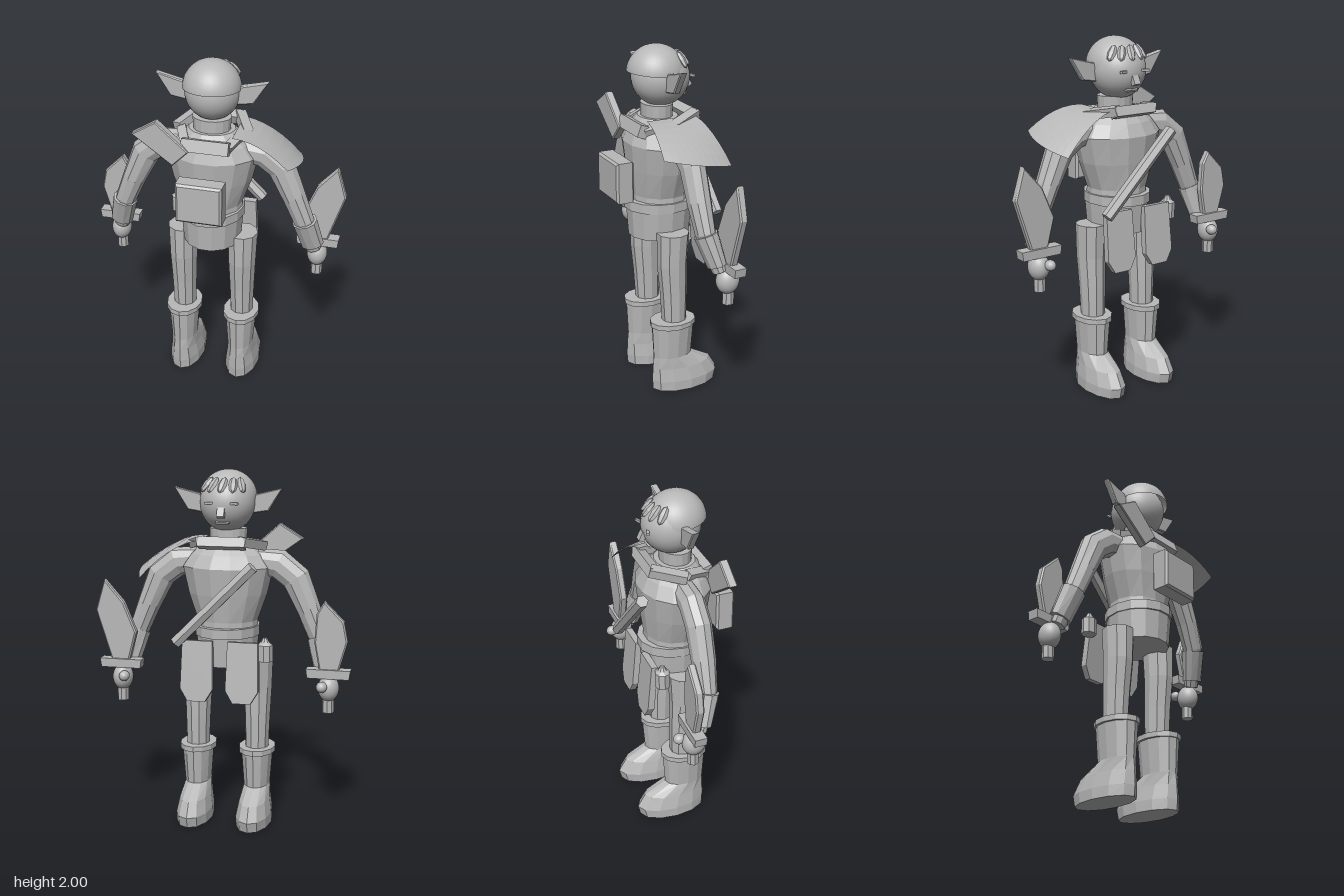
import * as THREE from 'three';

const CX = -0.012; // body centre line

export function createModel() {
  const root = new THREE.Group();
  root.name = 'adventurer';
  const grey = new THREE.MeshStandardMaterial({ color: 0xb8b8b8, side: THREE.DoubleSide });
  grey.name = 'grey';

  const flat = (geo) => {
    const g = geo.index ? geo.toNonIndexed() : geo;
    g.computeVertexNormals();
    return g;
  };
  const add = (name, geo, x = 0, y = 0, z = 0, rx = 0, ry = 0, rz = 0) => {
    const m = new THREE.Mesh(geo, grey);
    m.name = name;
    m.position.set(x, y, z);
    m.rotation.set(rx, ry, rz);
    root.add(m);
    return m;
  };
  const box = (w, h, d) => new THREE.BoxGeometry(w, h, d);

  // Faceted skin over elliptical rings [x, y, z, rx, rz]; rings follow the path unless upright
  const loft = (rings, n, upright = true) => {
    const c = rings.map((r) => new THREE.Vector3(r[0], r[1], r[2]));
    const pos = [], idx = [];
    rings.forEach((r, i) => {
      const t = upright ? new THREE.Vector3(0, 1, 0)
        : c[Math.min(i + 1, c.length - 1)].clone().sub(c[Math.max(i - 1, 0)]).normalize();
      const u = new THREE.Vector3().crossVectors(t, new THREE.Vector3(0, 0, 1)).normalize();
      const w = new THREE.Vector3().crossVectors(u, t);
      for (let j = 0; j < n; j++) {
        const a = (j / n) * Math.PI * 2;
        const p = c[i].clone().addScaledVector(u, Math.cos(a) * r[3]).addScaledVector(w, Math.sin(a) * r[4]);
        pos.push(p.x, p.y, p.z);
      }
    });
    const last = (rings.length - 1) * n, s = rings.length * n;
    for (const p of [c[0], c[c.length - 1]]) pos.push(p.x, p.y, p.z);
    for (let j = 0; j < n; j++) {
      const k = (j + 1) % n;
      for (let i = 0; i < last; i += n) idx.push(i + j, i + n + j, i + k, i + k, i + n + j, i + n + k);
      idx.push(s, j, k, s + 1, last + k, last + j);
    }
    const g = new THREE.BufferGeometry();
    g.setAttribute('position', new THREE.Float32BufferAttribute(pos, 3));
    g.setIndex(idx);
    return flat(g);
  };

  // Plate cut from an outline in x and y, centred on z = 0
  const plate = (pts, depth, bevel = 0) => {
    const shape = new THREE.Shape(pts.map(([x, y]) => new THREE.Vector2(x, y)));
    const g = new THREE.ExtrudeGeometry(shape, {
      depth: depth - 2 * bevel, bevelEnabled: bevel > 0, bevelThickness: bevel,
      bevelSize: bevel, bevelOffset: -bevel, bevelSegments: 1,
    });
    return g.translate(0, 0, -depth / 2 + bevel);
  };

  // Head, hair cap and neck
  const ball = new THREE.SphereGeometry(1, 32, 20);
  add('head', ball, CX, 1.82, -0.018).scale.set(0.154, 0.16, 0.163);
  const cap = new THREE.SphereGeometry(1, 32, 10, 0, Math.PI * 2, 0, Math.PI / 2);
  add('hairCap', cap, CX, 1.845, 0.008, -0.09).scale.set(0.159, 0.155, 0.164);
  add('neck', loft([[CX, 1.55, 0.005, 0.1, 0.085], [CX, 1.68, 0.005, 0.108, 0.087]], 16));

  // Face, on the -z side
  for (const s of [-1, 1]) {
    add('eye', box(0.07, 0.014, 0.014), CX + s * 0.06, 1.825, -0.168, 0, s * 0.35, 0);
  }
  add('nose', box(0.04, 0.05, 0.03), CX, 1.775, -0.18, 0.45);
  add('mouth', box(0.075, 0.012, 0.016), CX, 1.72, -0.148, -0.5);

  // Hair strands over the forehead
  [-0.8, -0.42, 0, 0.42, 0.8].forEach((a) => {
    const strand = add('hairStrand', flat(new THREE.SphereGeometry(1, 6, 4)),
      CX - Math.sin(a) * 0.135, 1.92, -Math.cos(a) * 0.142, 0.65, a, 0.2);
    strand.rotation.order = 'YXZ';
    strand.scale.set(0.024, 0.052, 0.018);
  });

  // Pointed ears
  for (const s of [-1, 1]) {
    const ear = [[0.13, 1.86], [0.306, 1.902], [0.228, 1.775], [0.13, 1.76]].map(([x, y]) => [s * x, y]);
    add('ear', plate(ear, 0.04, 0.006), CX);
  }

  // Torso, belt and hips
  add('torso', loft([
    [CX, 1.1, -0.01, 0.175, 0.165], [CX, 1.17, -0.01, 0.172, 0.165], [CX, 1.32, -0.01, 0.225, 0.185],
    [CX, 1.47, -0.01, 0.26, 0.2], [CX, 1.54, -0.005, 0.21, 0.17], [CX, 1.61, 0, 0.13, 0.11],
  ], 14));
  add('belt', loft([[CX, 1.085, -0.01, 0.183, 0.203], [CX, 1.14, -0.01, 0.183, 0.203]], 14));
  add('hips', loft([[CX, 0.92, -0.008, 0.164, 0.178], [CX, 1.09, -0.008, 0.178, 0.19]], 14));

  // Scarf collar in short straight pieces
  add('collarBack', box(0.26, 0.07, 0.05), CX, 1.56, 0.15, -0.35);
  add('collarFront', box(0.26, 0.055, 0.06), CX, 1.61, -0.16, 0.4);
  for (const s of [-1, 1]) {
    add('collarSide', box(0.055, 0.05, 0.2), CX + s * 0.155, 1.605, -0.09, 0.2, s * 0.45, -s * 0.25);
    add('collarShoulder', box(0.05, 0.045, 0.14), CX + s * 0.14, 1.57, 0.07, 0.25, -s * 0.4, -s * 0.25);
  }

  // Shoulder cape, bulging out and dipping towards -z
  const cape = new THREE.PlaneGeometry(1, 1, 10, 6);
  const p = cape.attributes.position;
  for (let i = 0; i < p.count; i++) {
    const across = p.getX(i) * 2, out = 0.5 - p.getY(i);
    p.setXYZ(i, 0.13 + 0.357 * out - 0.045 * across * across * out,
      1.62 - 0.02 * out - 0.145 * out * out + 0.042 * across * out,
      -0.01 + across * (0.145 + 0.057 * out));
  }
  add('shoulderCape', flat(cape));

  // Legs and boots
  for (const s of [-1, 1]) {
    const x = CX + s * 0.174;
    add('leg', loft([
      [x, 0.4, -0.02, 0.066, 0.071], [x, 0.6, -0.015, 0.073, 0.079],
      [x, 0.78, -0.005, 0.081, 0.087], [x, 0.97, -0.01, 0.088, 0.093],
    ], 10));
    add('boot', loft([
      [x, 0, -0.085, 0.1, 0.2], [x, 0.06, -0.09, 0.1, 0.21], [x, 0.14, -0.068, 0.086, 0.185],
      [x, 0.21, -0.008, 0.075, 0.118], [x, 0.41, -0.01, 0.09, 0.13],
    ], 12));
    add('bootCuff', loft([[x, 0.405, -0.01, 0.105, 0.138], [x, 0.435, -0.01, 0.105, 0.138]], 12));
  }

  // Arms, bracers, hands and short swords
  const blades = {
    '-1': [[0.03, 1.31], [-0.08, 1.2], [-0.102, 1.09], [-0.055, 0.92], [0.05, 0.92], [0.08, 1.08], [0.07, 1.24]],
    '1': [[0.092, 1.387], [-0.02, 1.26], [-0.09, 1.09], [-0.045, 0.92], [0.055, 0.92], [0.146, 1.21]],
  };
  for (const s of [-1, 1]) {
    const X = (d) => CX + s * d;
    add('arm', loft([
      [X(0.17), 1.5, -0.01, 0.07, 0.065], [X(0.29), 1.485, -0.012, 0.085, 0.07],
      [X(0.385), 1.41, -0.015, 0.083, 0.07], [X(0.46), 1.24, -0.015, 0.068, 0.066],
      [X(0.52), 1.09, -0.02, 0.06, 0.056], [X(0.575), 0.88, -0.08, 0.045, 0.04],
    ], 10, false));
    add('bracer', loft([
      [X(0.525), 1.085, -0.02, 0.072, 0.066], [X(0.57), 0.915, -0.065, 0.066, 0.05],
    ], 10, false));
    const h = X(0.592);
    add('hand', ball, h, 0.825, -0.12).scale.set(0.058, 0.075, 0.066);
    add('thumb', ball, h + s * -0.03, 0.845, -0.19).scale.set(0.03, 0.03, 0.034);
    add('swordGrip', flat(new THREE.CylinderGeometry(0.033, 0.033, 0.22, 8)), h, 0.8, -0.125);
    add('swordGuard', plate([[-0.122, 0.935], [-0.115, 0.885], [0.115, 0.885], [0.122, 0.935]], 0.068), h, 0, -0.128);
    add('swordBlade', plate(blades[s], 0.045, 0.008), h, 0, -0.125);
  }

  // Front hanging plates
  for (const s of [-1, 1]) {
    const outline = [[-0.085, 0.17], [0.085, 0.17], [0.092, -0.1], [0.05, -0.17], [-0.05, -0.17], [-0.092, -0.1]];
    add('hangingPlate', plate(outline, 0.038), CX + s * 0.128, 0.905, -0.213, 0.1);
  }

  // Pack and shoulder slab on the +z side
  add('pack', plate([[-0.128, -0.115], [0.128, -0.115], [0.128, 0.115], [-0.128, 0.115]], 0.105, 0.012), -0.012, 1.285, 0.255);
  add('shoulderSlab', plate([[-0.41, 1.61], [-0.185, 1.445], [-0.095, 1.535], [-0.275, 1.695]], 0.05, 0.006), 0, 0, 0.17);

  // Diagonal six-sided rod across the -z side
  add('rod', flat(new THREE.CylinderGeometry(0.034, 0.034, 0.61, 6)), 0.012, 1.283, -0.253, 0, 0, 0.785);

  // Belt flask
  add('flask', loft([
    [-0.256, 0.97, -0.165, 0.045, 0.042], [-0.256, 1.06, -0.165, 0.045, 0.042],
    [-0.256, 1.075, -0.165, 0.025, 0.025], [-0.256, 1.1, -0.165, 0.012, 0.012],
  ], 8));
  return root;
}
